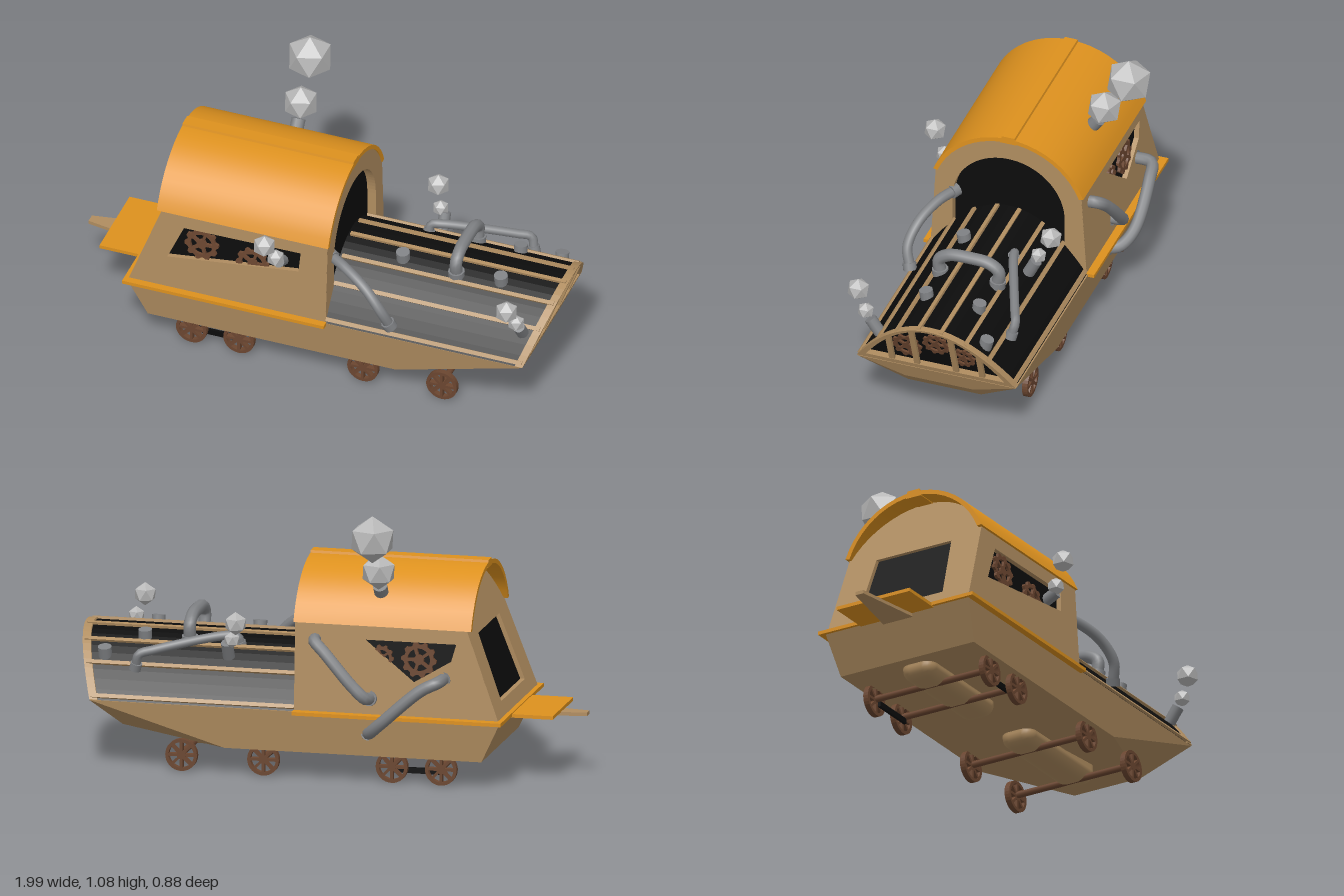
import * as THREE from 'three';
import { toCreasedNormals } from 'three/addons/utils/BufferGeometryUtils.js';
import { ConvexGeometry } from 'three/addons/geometries/ConvexGeometry.js';
import { RoundedBoxGeometry } from 'three/addons/geometries/RoundedBoxGeometry.js';

const mat = (color) => new THREE.MeshStandardMaterial({ color });
const WOOD = mat(0xb08d60), ORANGE = mat(0xdd911e), BLACK = mat(0x0c0c0c);
const BROWN = mat(0x6b4630), METAL = mat(0x808285), STEAM = mat(0xb8b8b8);
const V = (x, y, z) => new THREE.Vector3(x, y, z);

function add(parent, name, geo, material, x = 0, y = 0, z = 0) {
  const m = new THREE.Mesh(geo, material);
  m.name = name;
  m.position.set(x, y, z);
  parent.add(m);
  return m;
}

// Moves every vertex by a rule, then restores the normals
function bend(geo, rule) {
  const p = geo.attributes.position, v = V(0, 0, 0);
  for (let i = 0; i < p.count; i++) {
    rule(v.fromBufferAttribute(p, i));
    p.setXYZ(i, v.x, v.y, v.z);
  }
  geo.computeVertexNormals();
  return geo;
}

const poly = (pts) => new THREE.Shape(pts.map(([a, b]) => new THREE.Vector2(a, b)));
const extrude = (shape, depth) =>
  new THREE.ExtrudeGeometry(shape, { depth, bevelEnabled: false, curveSegments: 20 });
// Extrudes a (z, y) shape along x
const extrudeX = (shape, x0, x1) => extrude(shape, x1 - x0).rotateY(Math.PI / 2).translate(x0, 0, 0);

// Circular arc of half width w, rising h above y0, from +w to -w
function arc(w, y0, h, n = 20) {
  const R = (w * w + h * h) / (2 * h), a = Math.asin(w / R);
  return Array.from({ length: n + 1 }, (_, i) => {
    const t = a - (2 * a * i) / n;
    return [R * Math.sin(t), y0 + h - R + R * Math.cos(t)];
  });
}

// Flat spoked disc with optional teeth, used for gears and wheels
function spoked(r, rim, hub, spokes, teeth, depth) {
  const pts = [], n = teeth ? teeth * 4 : 32;
  for (let i = 0; i < n; i++) {
    const a = (i / n) * Math.PI * 2, q = teeth && i % 4 > 1 ? r * 0.84 : r;
    pts.push([q * Math.cos(a), q * Math.sin(a)]);
  }
  const shape = poly(pts), step = (Math.PI * 2) / spokes;
  for (let i = 0; i < spokes; i++) {
    const hole = new THREE.Path(), a = i * step, g = r * 0.085;
    hole.absarc(0, 0, rim, a + g / rim, a + step - g / rim, false);
    hole.absarc(0, 0, hub, a + step - g / hub, a + g / hub, true);
    hole.closePath();
    shape.holes.push(hole);
  }
  return new THREE.ExtrudeGeometry(shape, { depth, bevelEnabled: false, curveSegments: 5 });
}
const gear = (r) => spoked(r, r * 0.64, r * 0.28, 5, 10, 0.012);

const deckY = (z) => 0.278 + 0.242 * (1 - (z / 0.325) ** 2);
const bowShift = (y) => (y - 0.275) * 0.36;
const sideZ = (y) => 0.3 - (y - 0.28) * 0.06;
const backX = (y) => -0.72 + (y - 0.28) * 0.37;

function buildHull(g) {
  const pts = [];
  for (const s of [-1, 1]) {
    pts.push(V(-0.73, 0.275, s * 0.325), V(-0.65, 0.11, s * 0.302), V(0.37, 0.11, s * 0.302),
      V(0.9, 0.275, s * 0.325), V(0.87, 0.205, s * 0.14), V(0.81, 0.145, s * 0.15));
  }
  add(g, 'hull', new ConvexGeometry(pts), WOOD);
  add(g, 'trimLedge', new THREE.BoxGeometry(0.83, 0.014, 0.7), ORANGE, -0.323, 0.272, 0);
  add(g, 'rearPlatform', new THREE.BoxGeometry(0.2, 0.014, 0.33), ORANGE, -0.8, 0.268, 0);
  const hitch = poly([[-1, -0.018], [-0.7, -0.07], [-0.7, 0.07], [-1, 0.018]]);
  add(g, 'hitch', extrude(hitch, 0.014).rotateX(-Math.PI / 2), WOOD, 0, 0.248, 0);
}

function buildCabin(g) {
  // Dark interior, seen through the openings in the wall panels
  const pts = [];
  const inner = [[0.299, 0.28], ...arc(0.277, 0.63, 0.17), [-0.299, 0.28]];
  for (const [z, y] of inner) pts.push(V(backX(y) + 0.018, y, z), V(0.055, y, z));
  add(g, 'cabinInterior', new ConvexGeometry(pts), BLACK);

  const gable = () => poly([[0.32, 0.28], ...arc(0.298, 0.63, 0.195), [-0.32, 0.28]]);
  const front = gable(), door = new THREE.Path();
  door.moveTo(-0.23, 0.3);
  door.lineTo(0.23, 0.3);
  door.absarc(0, 0.51, 0.23, 0, Math.PI, false);
  door.closePath();
  front.holes.push(door);
  add(g, 'cabinFrontWall', extrudeX(front, 0.05, 0.09), WOOD);

  const back = gable();
  back.holes.push(poly([[-0.19, 0.33], [0.19, 0.33], [0.17, 0.59], [-0.17, 0.59]]));
  add(g, 'cabinBackWall', bend(extrudeX(back, 0, 0.02), (v) => { v.x += backX(v.y); }), WOOD);

  const windows = {
    1: [[-0.565, 0.417], [-0.027, 0.485], [-0.02, 0.57], [-0.5, 0.565]],
    '-1': [[-0.38, 0.41], [-0.18, 0.57], [-0.55, 0.57], [-0.53, 0.5]],
  };
  const gears = { 1: [[-0.43, 0.5, 0.07], [-0.22, 0.465, 0.068]], '-1': [[-0.4, 0.5, 0.07], [-0.25, 0.5, 0.05]] };
  for (const s of [1, -1]) {
    const slope = (d) => (v) => { v.z += s > 0 ? sideZ(v.y) : -sideZ(v.y) - d; };
    const wall = poly([[-0.718, 0.28], [0.089, 0.28], [0.089, 0.64], [backX(0.64), 0.64]]);
    wall.holes.push(poly(windows[s]));
    add(g, 'cabinSideWall', bend(extrude(wall, 0.02), slope(0.02)), WOOD);
    for (const [x, y, r] of gears[s]) {
      add(g, 'windowGear', bend(gear(r).translate(x, y, 0), slope(0.012)), BROWN);
    }
  }

  const shell = poly([...arc(0.308, 0.625, 0.212), ...arc(0.29, 0.622, 0.198).reverse()]);
  add(g, 'roof', toCreasedNormals(extrudeX(shell, -0.61, 0.095), 0.6), ORANGE);
  const ridge = poly([[-0.034, 0.815], [0.034, 0.815], [0.026, 0.845], [-0.026, 0.845]]);
  add(g, 'roofRidge', extrudeX(ridge, -0.61, 0.095), ORANGE);
}

function buildDeck(g) {
  const vault = (w, drop) => Array.from({ length: 25 }, (_, i) => {
    const z = w - (2 * w * i) / 24;
    return [z, drop + 0.278 + (deckY((z / w) * 0.325) - 0.278) * (w / 0.325)];
  });
  const shear = (v) => { if (v.x > 0.5) v.x += bowShift(v.y); };
  add(g, 'deck', bend(extrudeX(poly(vault(0.322, -0.004)), 0.08, 0.868), shear), BLACK);

  // Planking battens along the deck
  for (const z of [-0.315, -0.225, -0.14, -0.045, 0.045, 0.14, 0.225, 0.315]) {
    const y = deckY(z), end = 0.89 + bowShift(y);
    const b = add(g, 'deckBatten', new THREE.BoxGeometry(end - 0.09, 0.012, 0.016), WOOD, (end + 0.09) / 2, y - 0.002, z);
    b.rotation.x = Math.atan((0.484 * z) / 0.1056);
  }

  // Slanted bow window frame with bars and gears behind it
  const frame = poly(vault(0.325, 0));
  frame.holes.push(poly(vault(0.285, 0.02)));
  add(g, 'bowFrame', bend(extrudeX(frame, 0.868, 0.9), shear), WOOD);
  for (const z of [-0.19, -0.083, 0.077, 0.18]) {
    const h = deckY(z) - 0.29;
    const bar = new THREE.BoxGeometry(0.014, h, 0.022).translate(0.89, 0.28 + h / 2, z);
    add(g, 'bowBar', bend(bar, shear), WOOD);
  }
  for (const [z, y, r] of [[0.115, 0.38, 0.062], [-0.01, 0.425, 0.056], [-0.115, 0.375, 0.05]]) {
    add(g, 'bowGear', bend(gear(r).rotateY(Math.PI / 2).translate(0.868, y, z), shear), BROWN);
  }
}

function buildUndercarriage(g) {
  const wheel = spoked(0.063, 0.05, 0.017, 8, 0, 0.022);
  for (const x of [-0.48, -0.285, 0.225, 0.55]) {
    const axle = new THREE.CylinderGeometry(0.013, 0.013, 0.53, 10).rotateX(Math.PI / 2);
    add(g, 'axle', axle, BROWN, x, 0.068, 0);
    for (const s of [-1, 1]) add(g, 'wheel', wheel, BROWN, x, 0.063, s * 0.262 - 0.011);
  }
  for (const x of [-0.36, 0.365]) {
    add(g, 'underTank', new RoundedBoxGeometry(0.49, 0.12, 0.146, 3, 0.045), WOOD, x, 0.116, 0);
  }
  for (const s of [-1, 1]) add(g, 'couplingRod', new THREE.BoxGeometry(0.19, 0.022, 0.012), BLACK, -0.38, 0.048, s * 0.243);
}

// Cylinder centred on a point with its axis along dir
function stub(g, name, at, dir, r, len) {
  const m = add(g, name, new THREE.CylinderGeometry(r, r, len, 12), METAL, at.x, at.y, at.z);
  m.quaternion.setFromUnitVectors(V(0, 1, 0), dir.clone().normalize());
}

function pipe(g, r, pts) {
  const curve = new THREE.CatmullRomCurve3(pts.map((p) => V(...p)), false, 'centripetal');
  add(g, 'pipe', new THREE.TubeGeometry(curve, 32, r, 10), METAL);
  for (const t of [0, 1]) stub(g, 'pipeFlange', curve.getPoint(t), curve.getTangent(t), r * 1.3, 0.03);
}

function buildPipes(g) {
  pipe(g, 0.021, [[0.08, 0.53, 0.24], [0.15, 0.52, 0.28], [0.25, 0.475, 0.325], [0.32, 0.4, 0.345], [0.348, 0.33, 0.325]]);
  pipe(g, 0.025, [[0.55, 0.49, 0.125], [0.55, 0.545, 0.13], [0.55, 0.575, 0.09], [0.55, 0.582, 0], [0.55, 0.575, -0.075], [0.55, 0.545, -0.115], [0.55, 0.49, -0.11]]);
  pipe(g, 0.018, [[0.35, 0.475, -0.1], [0.36, 0.51, -0.11], [0.4, 0.515, -0.12], [0.67, 0.465, -0.225], [0.72, 0.45, -0.245], [0.735, 0.4, -0.235]]);
  pipe(g, 0.024, [[0.01, 0.56, -0.27], [0.005, 0.56, -0.32], [-0.04, 0.52, -0.34], [-0.15, 0.4, -0.355], [-0.2, 0.35, -0.345], [-0.21, 0.34, -0.29]]);
  pipe(g, 0.024, [[-0.2, 0.2, -0.28], [-0.215, 0.21, -0.33], [-0.27, 0.26, -0.37], [-0.43, 0.4, -0.375], [-0.49, 0.43, -0.36], [-0.5, 0.43, -0.28]]);
  for (const [x, z] of [[0.73, -0.1], [0.87, -0.18], [0.325, 0.11], [0.73, 0.115]]) {
    stub(g, 'deckCap', V(x, deckY(z - 0.015) + 0.005, z), V(0, 1, z * 1.5), 0.027, 0.045);
  }
}

// Steam vents: nozzle position, direction, then puffs as [x, y, z, radius]
function buildSteam(g) {
  const vents = [
    [[-0.235, 0.745, -0.215], [0, 1, -0.75], 0.028, [[-0.235, 0.835, -0.26, 0.071], [-0.235, 0.985, -0.36, 0.093]]],
    [[-0.1, 0.515, 0.315], [0, 0.5, 1], 0.024, [[-0.11, 0.55, 0.35, 0.036], [-0.138, 0.635, 0.4, 0.046]]],
    [[0.87, 0.41, 0.275], [0, 1, 0.7], 0.024, [[0.867, 0.47, 0.315, 0.034], [0.842, 0.545, 0.355, 0.046]]],
    [[0.38, 0.475, -0.19], [0, 1, -0.5], 0.024, [[0.36, 0.52, -0.208, 0.033], [0.335, 0.595, -0.25, 0.046]]],
  ];
  for (const [at, dir, r, puffs] of vents) {
    stub(g, 'ventNozzle', V(...at), V(...dir), r, 0.07);
    for (const [x, y, z, pr] of puffs) {
      const puff = new THREE.IcosahedronGeometry(pr, 0).rotateZ(Math.atan(2 / (1 + Math.sqrt(5))));
      add(g, 'steamPuff', puff, STEAM, x, y, z);
    }
  }
}

export function createModel() {
  const model = new THREE.Group();
  const section = (name, build, z) => {
    const g = new THREE.Group();
    g.name = name;
    g.position.z = z;
    build(g);
    model.add(g);
  };
  section('hullGroup', buildHull, 0.012);
  section('cabin', buildCabin, 0.014);
  section('deckGroup', buildDeck, 0.014);
  section('undercarriage', buildUndercarriage, 0.018);
  section('pipes', buildPipes, 0);
  section('steam', buildSteam, 0);
  return model;
}
